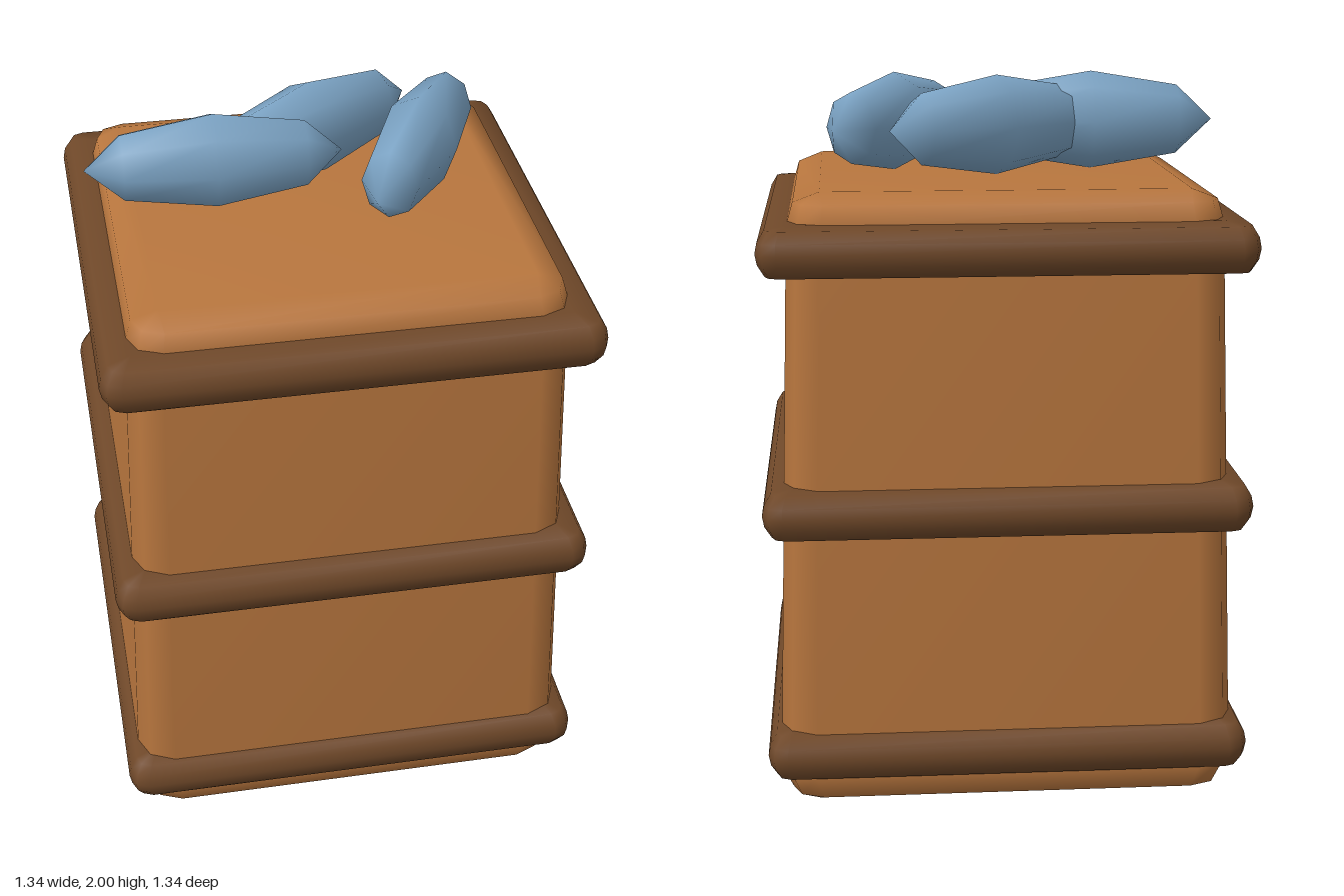
import * as THREE from 'three';
import { mergeVertices } from 'three/addons/utils/BufferGeometryUtils.js';

// Stack of rounded square rings [halfWidth, y, cornerRadius], bottom to top, capped at both ends
function squareLoft(rings) {
  const pos = [], idx = [], n = 12;
  for (const [h, y, r] of rings) {
    const m = h - 0.293 * r;
    const corner = [[h, h - r], [m, m], [h - r, h]];
    for (let q = 0; q < 4; q++) {
      for (const [a, b] of corner) {
        const [x, z] = [[a, b], [-b, a], [-a, -b], [b, -a]][q];
        pos.push(x, y, z);
      }
    }
  }
  for (let i = 0; i < rings.length - 1; i++) {
    for (let j = 0; j < n; j++) {
      const a = i * n + j, b = i * n + (j + 1) % n;
      idx.push(a, a + n, b, b, a + n, b + n);
    }
  }
  const last = (rings.length - 1) * n, c = rings.length * n;
  pos.push(0, rings[0][1], 0, 0, rings[rings.length - 1][1], 0);
  for (let j = 0; j < n; j++) {
    const k = (j + 1) % n;
    idx.push(c, j, k, c + 1, last + k, last + j);
  }
  const flat = new THREE.BufferGeometry();
  flat.setAttribute('position', new THREE.Float32BufferAttribute(pos, 3));
  flat.setIndex(idx);
  const geo = mergeVertices(flat, 1e-4);
  geo.computeVertexNormals();
  return geo;
}

export function createModel() {
  const model = new THREE.Group();
  model.name = 'crate';
  const material = (name, color) => {
    const m = new THREE.MeshStandardMaterial({ color });
    m.name = name;
    return m;
  };
  const wood = material('orange wood', 0xb8763e);
  const darkWood = material('dark wood', 0x6f4829);
  const blue = material('pale blue', 0x7ba3c4);

  const add = (name, geometry, mat) => {
    const mesh = new THREE.Mesh(geometry, mat);
    mesh.name = name;
    model.add(mesh);
    return mesh;
  };

  // Tapering body with rounded edges
  add('body', squareLoft([
    [0.53, 0, 0], [0.607, 0.035, 0.09], [0.637, 0.11, 0.1],
    [0.59, 1.63, 0.09], [0.572, 1.692, 0.08], [0.5, 1.72, 0],
  ]), wood);

  // Three bands around the body
  const band = squareLoft([
    [0.58, -0.07, 0], [0.645, -0.062, 0.04], [0.664, -0.03, 0.05], [0.67, 0, 0.055],
    [0.664, 0.03, 0.05], [0.645, 0.062, 0.04], [0.58, 0.07, 0],
  ]);
  ['lowerBand', 'middleBand', 'upperBand'].forEach((name, i) => {
    add(name, band, darkWood).position.y = [0.17, 0.86, 1.573][i];
  });

  // Spindle-shaped pieces lying on top, each turned a further 30 degrees
  const spindle = new THREE.SphereGeometry(1, 8, 4);
  spindle.rotateZ(Math.PI / 2);
  spindle.scale(0.355, 0.14, 0.112);
  [[-0.285, 0], [0, -0.14], [0.285, 0]].forEach(([x, z], i) => {
    const piece = add('spindle' + (i + 1), spindle, blue);
    piece.position.set(x, 1.86, z);
    piece.rotation.y = i * Math.PI / 6;
  });

  return model;
}
